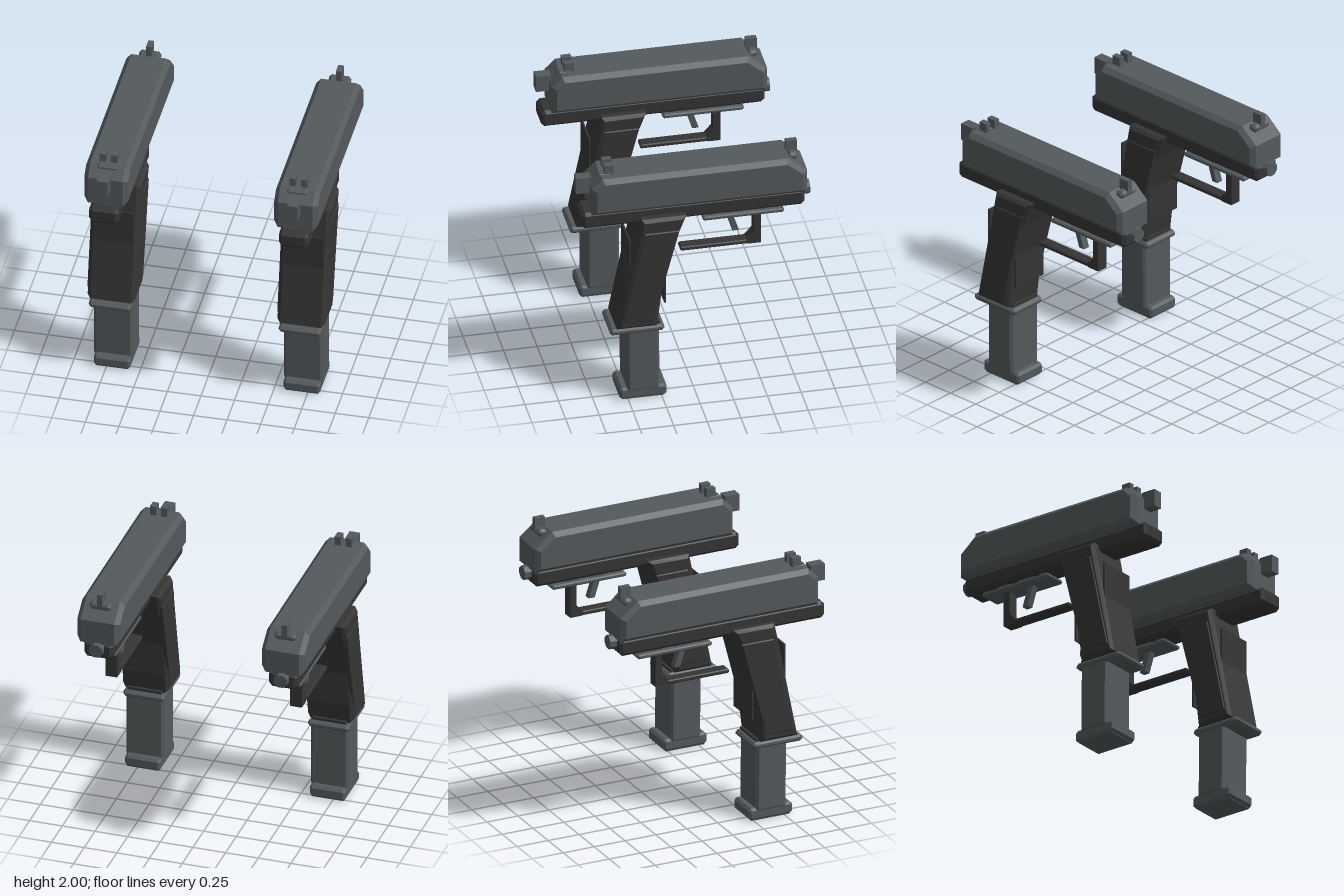
import * as THREE from 'three';

const steel = new THREE.MeshStandardMaterial({ color: 0x54595c });
steel.name = 'steelGrey';
const polymer = new THREE.MeshStandardMaterial({ color: 0x353535 });
polymer.name = 'polymerBlack';

// Side profile given as [z, y] points, extruded across x with chamfered sides
function prism(name, points, halfWidth, bevel, material) {
  const shape = new THREE.Shape(points.map(([z, y]) => new THREE.Vector2(z, y)));
  const depth = 2 * (halfWidth - bevel);
  const geo = new THREE.ExtrudeGeometry(shape, {
    depth,
    bevelEnabled: bevel > 0,
    bevelSegments: 1,
    bevelSize: bevel,
    bevelThickness: bevel,
    bevelOffset: -bevel,
  });
  geo.translate(0, 0, -depth / 2);
  geo.rotateY(-Math.PI / 2);
  const mesh = new THREE.Mesh(geo, material);
  mesh.name = name;
  return mesh;
}

// Box between z0..z1 and y0..y1 with every edge chamfered by c
function block(name, z0, z1, y0, y1, halfWidth, c, material) {
  return prism(name, [
    [z0 + c, y0], [z1 - c, y0], [z1, y0 + c], [z1, y1 - c],
    [z1 - c, y1], [z0 + c, y1], [z0, y1 - c], [z0, y0 + c],
  ], halfWidth, c * 0.9, material);
}

// Sharp box, optionally shifted in x
function box(name, z0, z1, y0, y1, halfWidth, material, x = 0) {
  const mesh = new THREE.Mesh(new THREE.BoxGeometry(2 * halfWidth, y1 - y0, z1 - z0), material);
  mesh.position.set(x, (y0 + y1) / 2, (z0 + z1) / 2);
  mesh.name = name;
  return mesh;
}

function createPistol() {
  const pistol = new THREE.Group();

  // Slide and frame
  pistol.add(
    prism('slide', [
      [0.77, 1.62], [0.77, 1.84], [0.69, 1.92], [-0.69, 1.92], [-0.83, 1.805], [-0.83, 1.62],
    ], 0.163, 0.034, steel),
    block('frame', -0.82, 0.84, 1.49, 1.622, 0.109, 0.025, polymer),
    box('hammer', 0.755, 0.868, 1.76, 1.89, 0.04, steel),
  );

  // Guide rod end under the muzzle
  const rod = new THREE.Mesh(new THREE.CylinderGeometry(0.054, 0.054, 0.07, 8).toNonIndexed(), steel);
  rod.geometry.rotateY(Math.PI / 8);
  rod.geometry.rotateX(Math.PI / 2);
  rod.geometry.computeVertexNormals();
  rod.position.set(0, 1.58, -0.835);
  rod.name = 'guideRod';
  pistol.add(rod);

  // Sights
  pistol.add(
    block('rearSightBase', 0.6, 0.715, 1.87, 1.925, 0.08, 0.018, steel),
    block('frontSightBase', -0.775, -0.7, 1.868, 1.924, 0.08, 0.018, steel),
    box('frontSight', -0.777, -0.695, 1.9, 2, 0.021, steel),
  );
  for (const s of [-1, 1]) pistol.add(box('rearSight', 0.592, 0.663, 1.9, 1.99, 0.023, steel, s * 0.043));

  // Grip with raised side panels and thin front and back straps
  pistol.add(
    prism('grip', [
      [0.405, 1.548], [0.072, 1.548], [0.15, 1.345], [0.217, 1.155], [0.25, 0.96], [0.29, 0.628], [0.59, 0.628],
    ], 0.177, 0.025, polymer),
    prism('gripPanels', [
      [0.388, 1.437], [0.128, 1.437], [0.322, 0.69], [0.546, 0.69],
    ], 0.184, 0.007, polymer),
    box('backStrap', 0.483, 0.496, 1.0, 1.365, 0.15, polymer),
    box('frontStrap', 0.223, 0.236, 0.81, 1.17, 0.15, polymer),
  );

  // Magazine with collar and base pad
  pistol.add(
    block('magazineCollar', 0.234, 0.637, 0.573, 0.625, 0.156, 0.018, steel),
    box('gripFoot', 0.265, 0.34, 0.61, 0.645, 0.13, polymer),
    prism('magazine', [[0.508, 0.07], [0.512, 0.6], [0.27, 0.6], [0.267, 0.07]], 0.144, 0.018, steel),
    block('magazineBase', 0.213, 0.563, 0.005, 0.097, 0.135, 0.018, steel),
    box('basePlate', 0.235, 0.541, 0, 0.012, 0.12, steel),
  );

  // Accessory rail and its mounts
  pistol.add(block('rail', -0.668, -0.066, 1.435, 1.468, 0.09, 0.01, steel));
  for (const [z0, z1] of [[-0.165, -0.117], [-0.355, -0.23], [-0.54, -0.45]]) {
    pistol.add(box('railMount', z0, z1, 1.46, 1.495, 0.06, steel));
  }

  // Trigger and its guard
  pistol.add(
    prism('trigger', [
      [-0.23, 1.49], [-0.28, 1.49], [-0.345, 1.287], [-0.296, 1.287],
    ], 0.03, 0.004, steel),
    block('guardBar', -0.47, 0.093, 1.17, 1.203, 0.045, 0.008, polymer),
    prism('guardCorner', [
      [-0.385, 1.185], [-0.41, 1.17], [-0.503, 1.17], [-0.503, 1.28], [-0.455, 1.265],
    ], 0.045, 0, polymer),
    box('guardPost', -0.503, -0.452, 1.19, 1.49, 0.045, polymer),
  );
  return pistol;
}

export function createModel() {
  const model = new THREE.Group();
  const left = createPistol();
  left.name = 'leftPistol';
  left.position.x = 0.706;
  const right = left.clone();
  right.name = 'rightPistol';
  right.position.x = -0.708;
  model.add(left, right);
  return model;
}
